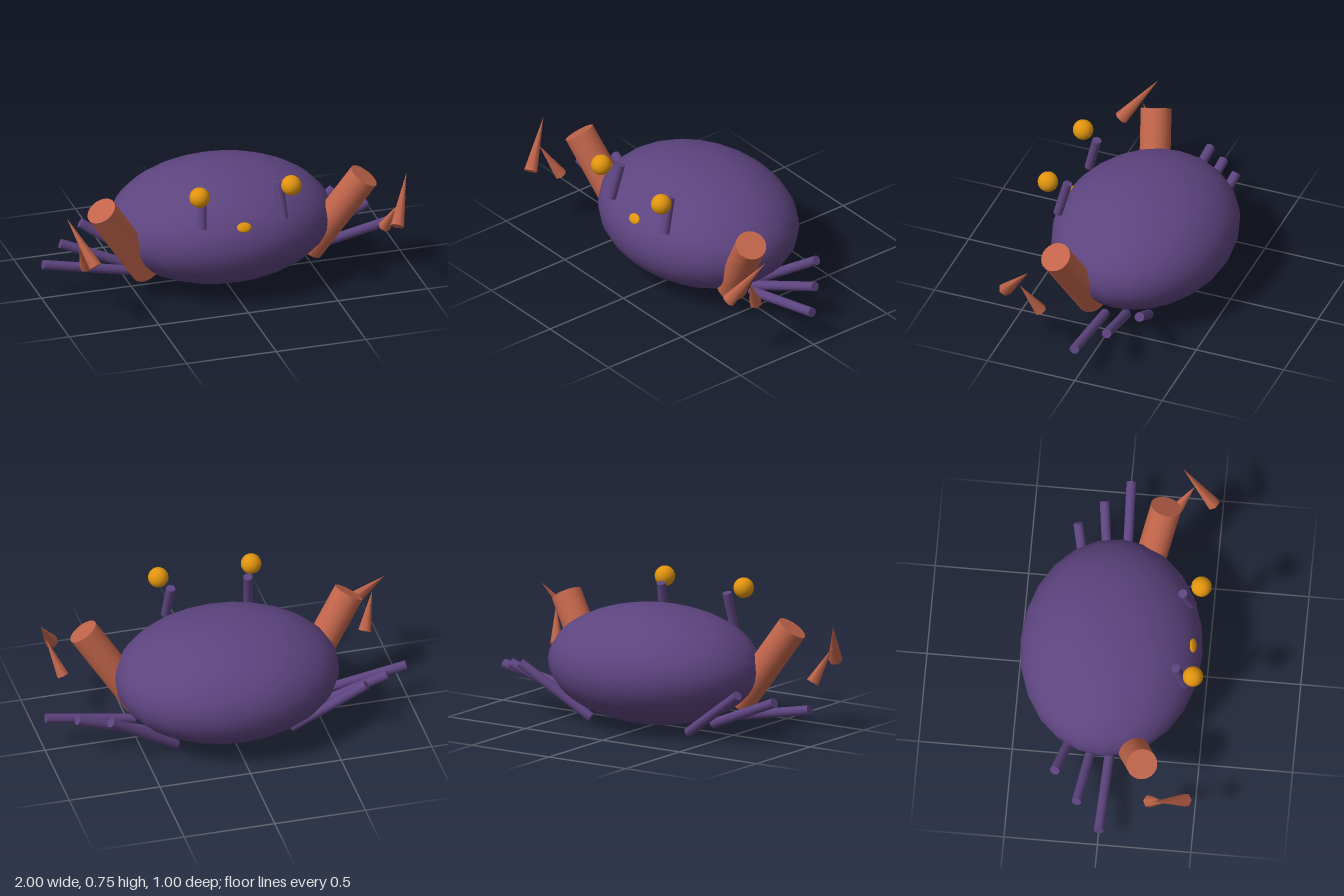
import * as THREE from 'three';

const mat = (name, color) => {
  const m = new THREE.MeshStandardMaterial({ color });
  m.name = name;
  return m;
};

export function createModel() {
  const purple = mat('shell purple', 0x5d447f);
  const coral = mat('claw coral', 0xc0644a);
  const amber = mat('eye amber', 0xe0940e);
  const crab = new THREE.Group();
  crab.name = 'crab';

  const add = (name, geometry, material, x, y, z) => {
    const mesh = new THREE.Mesh(geometry, material);
    mesh.name = name;
    mesh.position.set(x, y, z);
    crab.add(mesh);
    return mesh;
  };

  // Rod or cone running from point a to point b, mirrored by side
  const span = (name, material, side, a, b, rTop, rBottom, segments) => {
    const from = new THREE.Vector3(a[0] * side, a[1], a[2]);
    const to = new THREE.Vector3(b[0] * side, b[1], b[2]);
    const axis = to.clone().sub(from);
    const geometry = rTop > 0
      ? new THREE.CylinderGeometry(rTop, rBottom, axis.length(), segments)
      : new THREE.ConeGeometry(rBottom, axis.length(), segments);
    const mid = from.add(to).multiplyScalar(0.5);
    const mesh = add(name, geometry, material, mid.x, mid.y, mid.z);
    mesh.quaternion.setFromUnitVectors(new THREE.Vector3(0, 1, 0), axis.normalize());
  };

  // Oval shell
  add('body', new THREE.SphereGeometry(1, 24, 24), purple, 0, 0.34, -0.013)
    .scale.set(0.607, 0.316, 0.487);

  // Small mouth set into the front of the shell
  const mouth = add('mouth', new THREE.SphereGeometry(1, 16, 10), amber, 0, 0.478, 0.424);
  mouth.scale.set(0.04, 0.028, 0.012);
  mouth.rotation.x = -0.65;

  // Walking legs: inner end, outer end
  const legs = [
    [[0.5, 0.112, 0.023], [0.993, 0.208, 0.006]],
    [[0.415, 0.073, -0.065], [0.855, 0.254, -0.125]],
    [[0.317, 0.03, -0.155], [0.705, 0.296, -0.254]],
  ];

  for (const side of [1, -1]) {
    const label = side > 0 ? 'left' : 'right';
    legs.forEach(([a, b], i) =>
      span(`${label}Leg${i + 1}`, purple, side, a, b, 0.026, 0.026, 16));

    // Eye stalk and eye
    span(`${label}EyeStalk`, purple, side, [0.228, 0.49, 0.4], [0.213, 0.685, 0.35], 0.025, 0.025, 16);
    add(`${label}Eye`, new THREE.SphereGeometry(0.055, 24, 16), amber, 0.256 * side, 0.701, 0.446);

    // Claw arm with two pincer spikes
    span(`${label}ClawArm`, coral, side, [0.452, 0.155, 0.118], [0.733, 0.584, 0.215], 0.083, 0.083, 24);
    span(`${label}UpperPincer`, coral, side, [0.842, 0.382, 0.46], [0.948, 0.605, 0.287], 0, 0.038, 6);
    span(`${label}LowerPincer`, coral, side, [0.832, 0.29, 0.262], [0.9, 0.475, 0.355], 0, 0.035, 6);
  }

  return crab;
}
